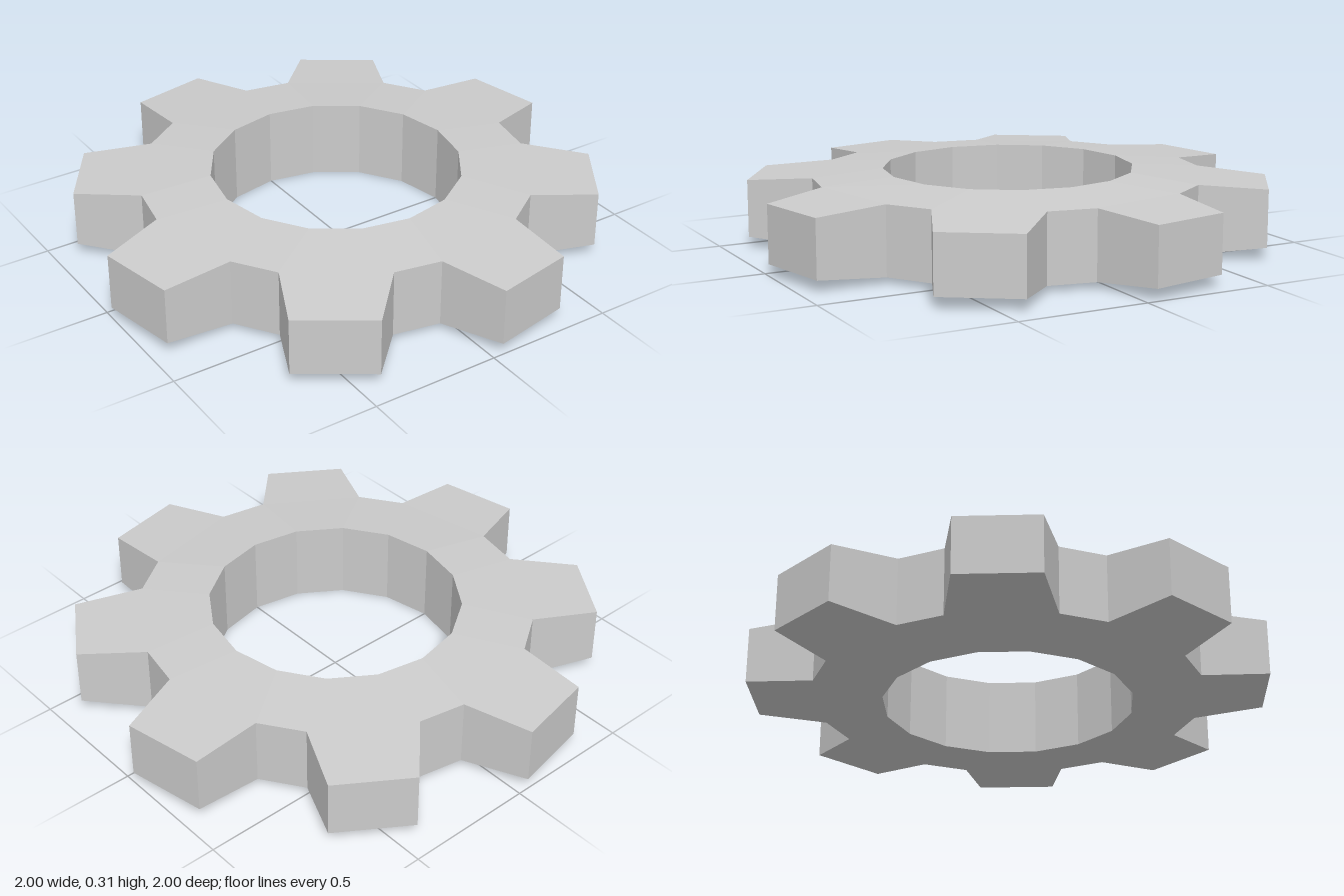
import * as THREE from 'three';

const TEETH = 8;
const MID = 0.155; // height of the middle plane

// Ring point: angle in degrees (from +x toward +z), radius, side +1 top / -1 bottom.
// The faces taper from the hole out to the tooth tips.
function point(deg, radius, side) {
  const a = THREE.MathUtils.degToRad(deg);
  const half = 0.155 - (radius - 0.483) * 0.085;
  return [radius * Math.cos(a), MID + side * half, radius * Math.sin(a)];
}

function createGearGeometry() {
  const positions = [];
  const quad = (a, b, c, d) => positions.push(...a, ...b, ...c, ...a, ...c, ...d);

  // Matching top and bottom faces from four [angle, radius] corners
  const faces = (corners) => {
    quad(...corners.map(([a, r]) => point(a, r, 1)));
    quad(...corners.map(([a, r]) => point(a, r, -1)).reverse());
  };

  // Vertical wall between two corners
  const wall = ([a0, r0], [a1, r1]) =>
    quad(point(a0, r0, -1), point(a0, r0, 1), point(a1, r1, 1), point(a1, r1, -1));

  for (let i = 0; i < TEETH; i++) {
    const t = (i * 360) / TEETH;
    const hole = [-22.5, 0, 22.5].map((a) => [t + a, 0.483]);
    const root = [-27, 3.9, 18].map((a) => [t + a, 0.753]);
    const tip = [-20.3, -2.3].map((a) => [t + a, 1.0]);

    // Rim behind the tooth, the tooth, and rim behind the gap
    faces([hole[0], hole[1], root[1], root[0]]);
    faces([root[0], root[1], tip[1], tip[0]]);
    faces([hole[1], hole[2], root[2], root[1]]);

    // Outer walls around the tooth and across the gap
    const outline = [root[0], tip[0], tip[1], root[1], root[2]];
    for (let k = 0; k < 4; k++) wall(outline[k], outline[k + 1]);

    // Bore walls, facing the axis
    wall(hole[1], hole[0]);
    wall(hole[2], hole[1]);
  }

  const geometry = new THREE.BufferGeometry();
  geometry.setAttribute('position', new THREE.Float32BufferAttribute(positions, 3));
  geometry.computeVertexNormals();
  return geometry;
}

export function createModel() {
  const group = new THREE.Group();
  group.name = 'gear';
  const material = new THREE.MeshStandardMaterial({ color: 0xcccccc, flatShading: true });
  const gear = new THREE.Mesh(createGearGeometry(), material);
  gear.name = 'gearWheel';
  group.add(gear);
  return group;
}
